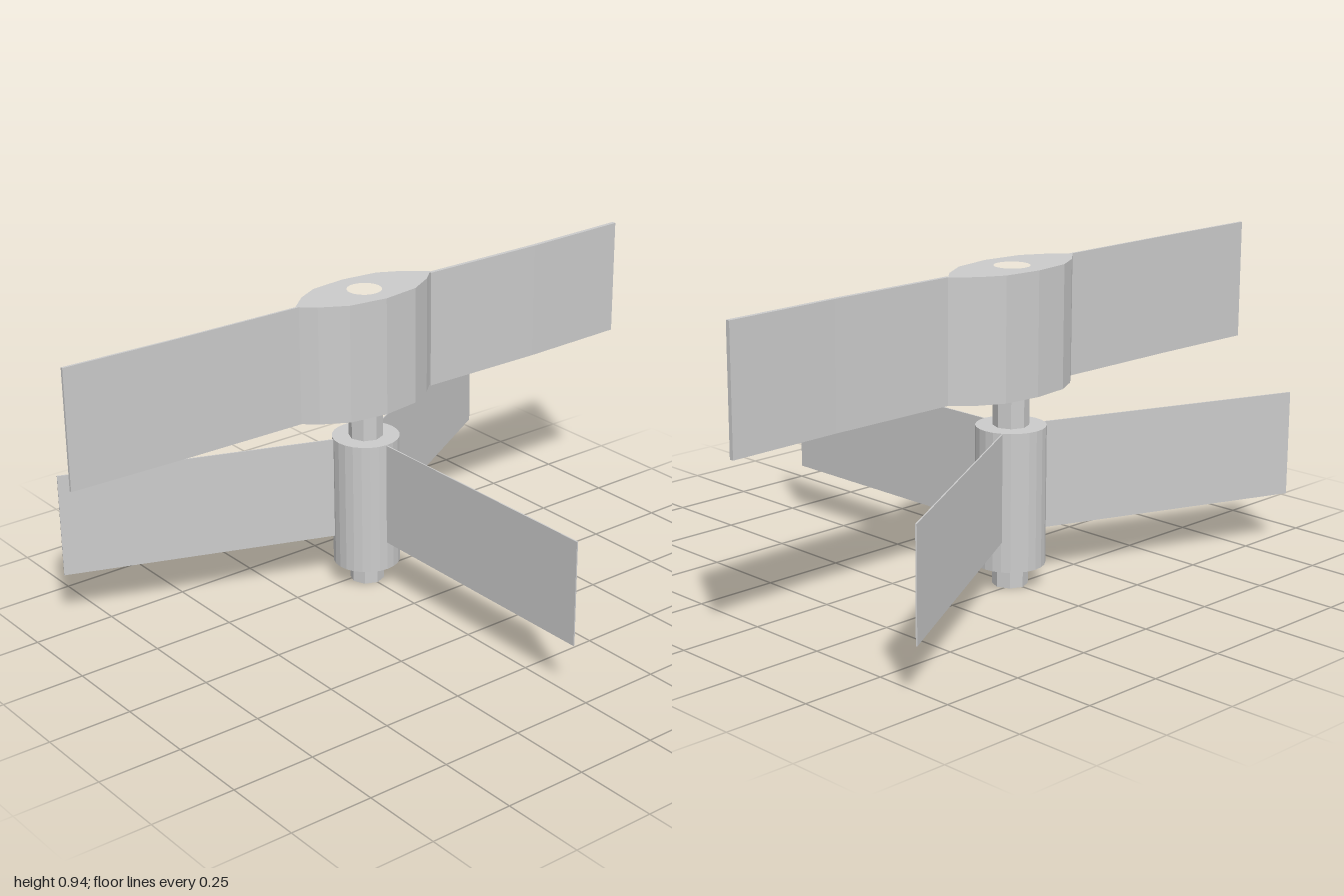
import * as THREE from 'three';

export function createModel() {
  const model = new THREE.Group();
  const axisZ = -0.23; // common vertical axis of the rotor
  const material = new THREE.MeshStandardMaterial({ color: 0xcccccc, flatShading: true });

  function add(name, geometry, parent = model) {
    const mesh = new THREE.Mesh(geometry, material);
    mesh.name = name;
    parent.add(mesh);
    return mesh;
  }

  // Upright prism from a plan outline of [x, z] points
  function prism(points, y0, y1, holeRadius = 0) {
    const shape = new THREE.Shape(points.map(([x, z]) => new THREE.Vector2(x, -z)));
    if (holeRadius) {
      const hole = new THREE.Path();
      hole.absarc(0, -axisZ, holeRadius, 0, Math.PI * 2, true);
      shape.holes.push(hole);
    }
    const geometry = new THREE.ExtrudeGeometry(shape, { depth: y1 - y0, bevelEnabled: false, curveSegments: 12 });
    return geometry.rotateX(-Math.PI / 2).translate(0, y0, 0);
  }

  function rod(radius, y0, y1, sides) {
    return new THREE.CylinderGeometry(radius, radius, y1 - y0, sides).translate(0, (y0 + y1) / 2, axisZ);
  }

  // Central shaft, ending inside the bore of the upper pod
  add('shaft', rod(0.052, 0, 0.85, 8));

  // Lower hub
  add('lowerHub', rod(0.102, 0.065, 0.475, 24));

  // Three thin lower blades, each given by its tip [x, z]
  const lowerY = [0.155, 0.473];
  [[0, 0.695], [0.805, -0.697], [-0.868, -0.553]].forEach(([x, z], i) => {
    const dx = x, dz = z - axisZ;
    const length = Math.hypot(dx, dz), root = 0.09;
    const blade = add('lowerBlade' + (i + 1),
      new THREE.BoxGeometry(length - root, lowerY[1] - lowerY[0], 0.004)
        .translate((length + root) / 2, 0, 0));
    blade.position.set(0, (lowerY[0] + lowerY[1]) / 2, axisZ);
    blade.rotation.y = Math.atan2(-dz, dx);
  });

  // Lens-shaped upper pod with a bore
  const pod = [
    [-0.247, -0.23], [-0.185, -0.285], [-0.115, -0.322], [0, -0.335],
    [0.115, -0.322], [0.185, -0.285], [0.247, -0.23],
    [0.2, -0.187], [0.12, -0.142], [0, -0.125], [-0.12, -0.142], [-0.2, -0.187],
  ];
  add('upperPod', prism(pod, 0.575, 0.935, 0.052));

  // Slightly curved upper blades
  add('upperBladeRight', prism([
    [-0.24, -0.23], [-0.65, -0.234], [-1, -0.245],
    [-1, -0.237], [-0.65, -0.228], [-0.24, -0.223],
  ], 0.575, 0.935));
  add('upperBladeLeft', prism([
    [0.24, -0.229], [0.65, -0.226], [1, -0.235],
    [1, -0.222], [0.65, -0.213], [0.24, -0.217],
  ], 0.575, 0.935));

  return model;
}
